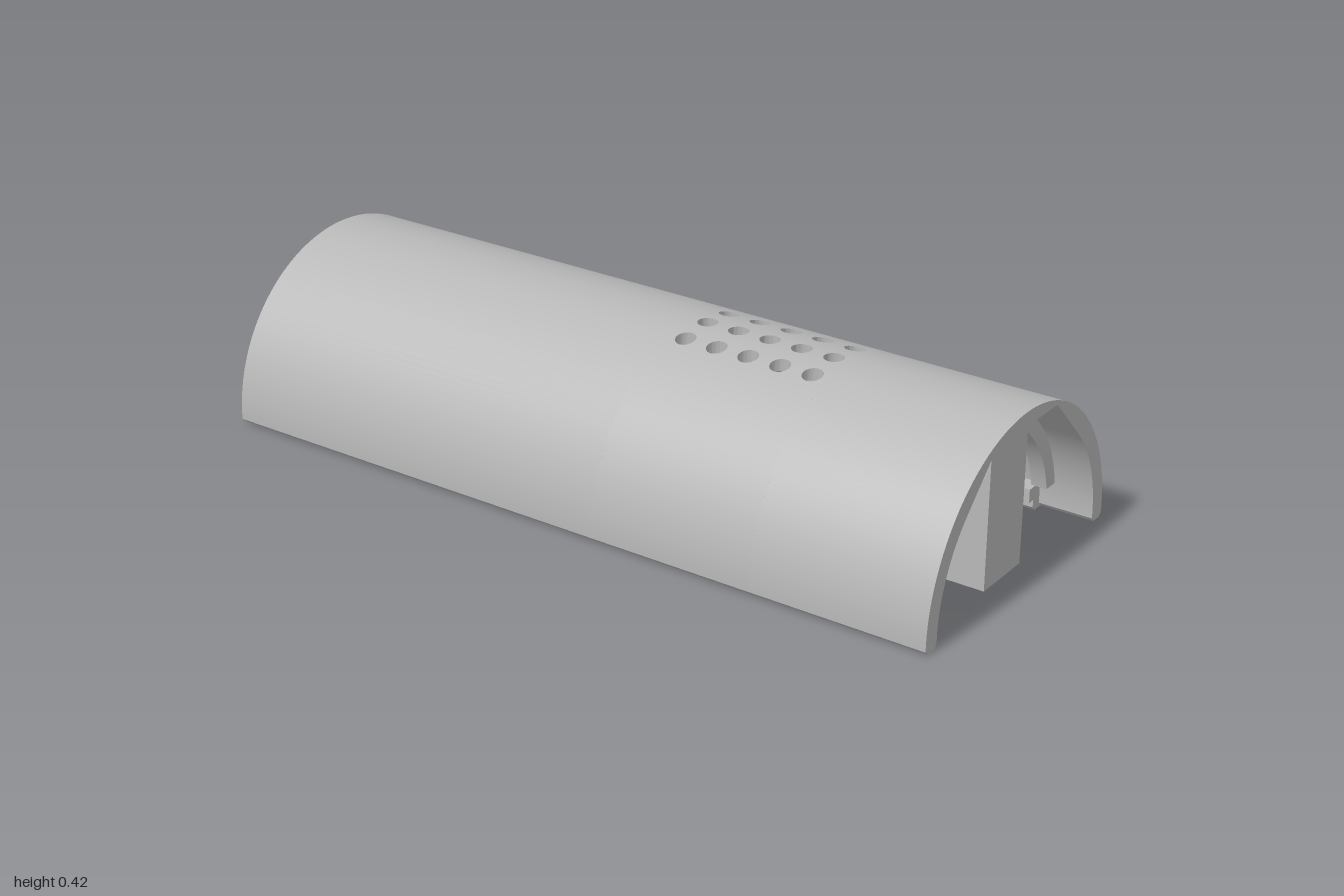
import * as THREE from 'three';
import { toCreasedNormals, mergeGeometries } from 'three/addons/utils/BufferGeometryUtils.js';

const grey = new THREE.MeshStandardMaterial({ color: 0xb8b8b8 });
grey.name = 'light grey';

const CY = 0.017, R = 0.406;          // axis height and outer radius of the shell
const ROOF = 0.387;                   // flat ceiling height
const PX0 = 0.106, PX1 = 0.544, PZ = 0.135; // perforated roof panel

const outerY = z => CY + Math.sqrt(R * R - z * z);
const mirror = pts => pts.map(([z, y]) => [-z, y]);

// Prism with a (z, y) cross-section running along x
function prism(pts, x0, x1) {
  const shape = new THREE.Shape(pts.map(([z, y]) => new THREE.Vector2(-z, y)));
  const geo = new THREE.ExtrudeGeometry(shape, { depth: x1 - x0, bevelEnabled: false });
  geo.rotateY(Math.PI / 2).translate(x0, 0, 0);
  return toCreasedNormals(geo, 0.4);
}

function arc(r, a0, a1, n) {
  return Array.from({ length: n + 1 }, (_, i) => {
    const a = a0 + (a1 - a0) * i / n;
    return [r * Math.cos(a), CY + r * Math.sin(a)];
  });
}

// Inner wall: arc that leaves at 45 degrees and runs straight up to the flat ceiling
function innerWall(r, yStart) {
  const a0 = Math.asin((yStart - CY) / r);
  return [...arc(r, a0, Math.PI / 4, 16), [r * Math.SQRT2 + CY - ROOF, ROOF]];
}

// Half of the shell section, from the ceiling down the inside and up the outside
function shellHalf(zMin) {
  return [
    [zMin, ROOF], ...innerWall(0.36, CY).reverse(),
    [0.36, 0.01], [0.368, 0], [0.395, 0], [0.406, 0.01],
    ...arc(R, 0, Math.acos(zMin / R), 40),
  ];
}

// One roof cell with a round vertical hole
function holeCell(cx, cz, hx, hz, r) {
  const N = 32, pos = [], idx = [];
  const rows = [[0, 1], [0.33, 1], [0.67, 1], [1, 1], [1, 0], [0, 0]]; // [square to circle, top or bottom]
  for (const [t, top] of rows) {
    for (let i = 0; i < N; i++) {
      const a = i / N * Math.PI * 2, c = Math.cos(a), s = Math.sin(a);
      const m = Math.max(Math.abs(c), Math.abs(s));
      const x = cx + THREE.MathUtils.lerp(c / m * hx, c * r, t);
      const z = cz + THREE.MathUtils.lerp(s / m * hz, s * r, t);
      pos.push(x, top ? outerY(z) : ROOF, z);
    }
  }
  for (let j = 0; j < rows.length - 1; j++) {
    for (let i = 0; i < N; i++) {
      const k = (i + 1) % N, a = j * N + i, b = j * N + k;
      idx.push(a, a + N, b, b, a + N, b + N);
    }
  }
  const geo = new THREE.BufferGeometry();
  geo.setAttribute('position', new THREE.Float32BufferAttribute(pos, 3));
  geo.setIndex(idx);
  return toCreasedNormals(geo, 0.4);
}

export function createModel() {
  const model = new THREE.Group();
  model.name = 'halfTubeCover';
  const add = (name, geo) => {
    const mesh = new THREE.Mesh(geo, grey);
    mesh.name = name;
    model.add(mesh);
  };

  // Arched shell: full sections at both ends, split sides beside the roof panel
  const half = shellHalf(0).slice(1);
  const full = [...half, ...mirror(half).reverse().slice(1)];
  add('shellRightEnd', prism(full, -1, PX0));
  add('shellLeftEnd', prism(full, PX1, 1));
  const side = shellHalf(PZ);
  add('shellFrontSide', prism(side, PX0, PX1));
  add('shellBackSide', prism(mirror(side), PX0, PX1));

  // Perforated roof panel, 5 by 3 holes
  const hx = (PX1 - PX0) / 10, hz = PZ / 3, cells = [];
  for (let i = 0; i < 5; i++) {
    for (let j = -1; j <= 1; j++) cells.push(holeCell(PX0 + hx * (2 * i + 1), j * 2 * hz, hx, hz, 0.025));
  }
  add('perforatedRoof', mergeGeometries(cells));

  // Ribs and lower rails on both sides
  const rib = [...innerWall(0.32, 0.076), ...innerWall(0.362, 0.076).reverse()];
  const rail = [[0.362, 0.065], [0.309, 0.065], [0.309, 0.03], [0.329, 0.03],
    [0.329, 0.01], [0.338, 0], [0.368, 0], [0.362, 0.01]];
  for (const [sideName, flip] of [['front', p => p], ['back', mirror]]) {
    for (const x of [0.88, 0.68, 0.03]) add(sideName + 'Rib', prism(flip(rib), x - 0.02, x + 0.02));
    add(sideName + 'Rail', prism(flip(rail), -0.87, 0.86));
  }

  // Central frame with three compartments, open above and below
  const L = 0.96, W = 0.082, T = 0.017;
  const rect = (Type, x0, x1, z) => new Type([[x0, -z], [x1, -z], [x1, z], [x0, z]].map(p => new THREE.Vector2(...p)));
  const frame = rect(THREE.Shape, -L, L, W);
  const bay = (2 * L - 4 * T) / 3;
  for (let i = 0; i < 3; i++) {
    const x = -L + T + i * (bay + T);
    frame.holes.push(rect(THREE.Path, x, x + bay, W - T));
  }
  const frameGeo = new THREE.ExtrudeGeometry(frame, { depth: 0.377, bevelEnabled: false });
  add('compartmentFrame', frameGeo.rotateX(-Math.PI / 2));

  return model;
}
